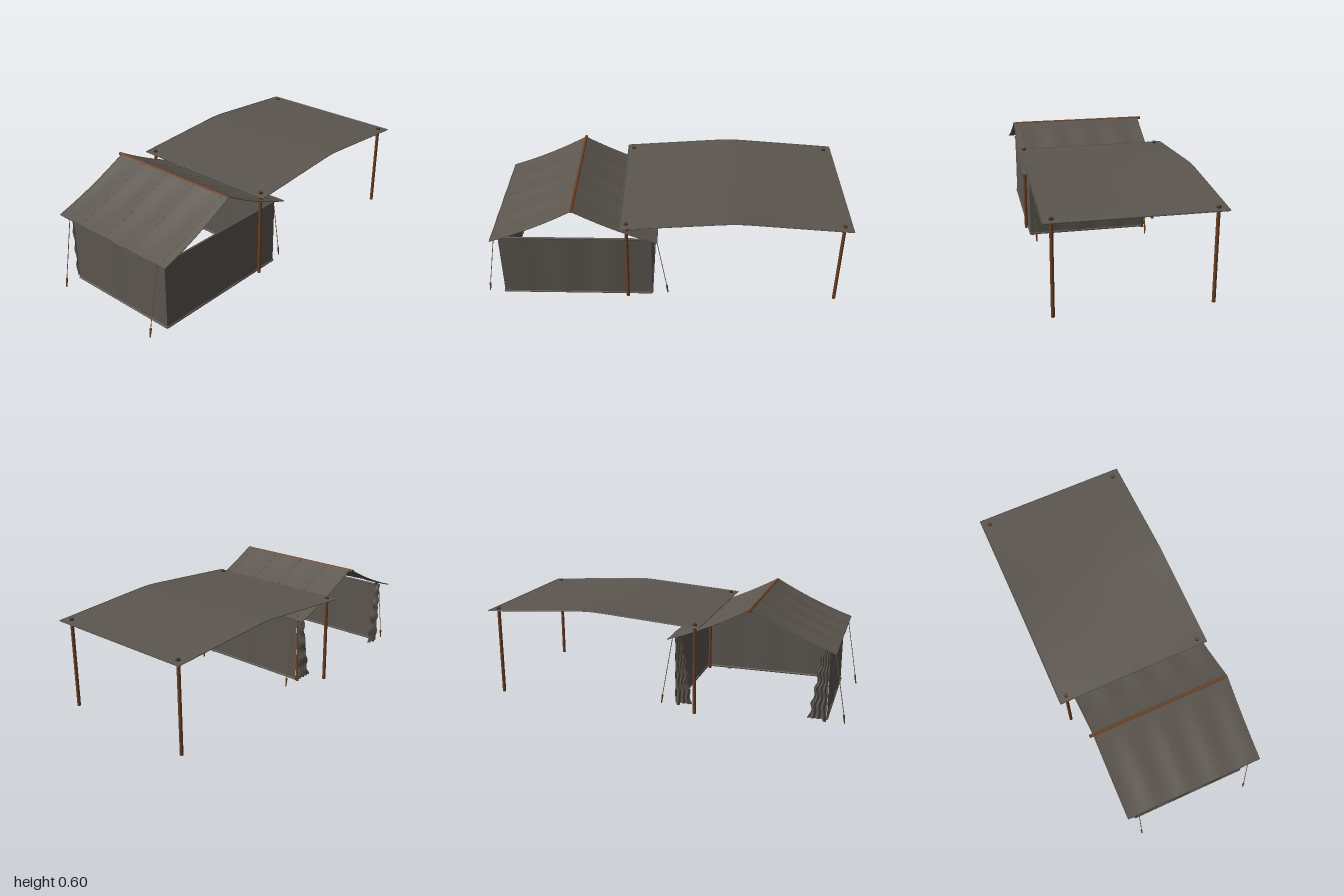
import * as THREE from 'three';

export function createModel() {
  const model = new THREE.Group();
  const mat = (name, color, side = THREE.FrontSide) => {
    const m = new THREE.MeshStandardMaterial({ color, side });
    m.name = name;
    return m;
  };
  const canvas = mat('canvas', 0x5c564f, THREE.DoubleSide);
  const wood = mat('wood', 0x6b4024);
  const rope = mat('rope', 0x6e5a35);
  const cap = mat('dark cap', 0x33302d);

  const add = (name, geo, material) => {
    const mesh = new THREE.Mesh(geo, material);
    mesh.name = name;
    model.add(mesh);
    return mesh;
  };

  // Cloth: a grid whose points follow f(u, v) -> [x, y, z]
  const cloth = (name, nu, nv, f) => {
    const geo = new THREE.PlaneGeometry(1, 1, nu, nv);
    const p = geo.attributes.position;
    for (let i = 0; i < p.count; i++) p.setXYZ(i, ...f(p.getX(i) + 0.5, p.getY(i) + 0.5));
    geo.computeVertexNormals();
    return add(name, geo, canvas);
  };

  // Straight round bar between two points
  const bar = (name, a, b, r, material, sides = 10, rTop = r) => {
    const from = new THREE.Vector3(...a), to = new THREE.Vector3(...b);
    const dir = to.clone().sub(from);
    const mesh = add(name, new THREE.CylinderGeometry(rTop, r, dir.length(), sides), material);
    mesh.position.copy(from).add(to).multiplyScalar(0.5);
    mesh.quaternion.setFromUnitVectors(new THREE.Vector3(0, 1, 0), dir.normalize());
    return mesh;
  };

  // Thin line through points made by f(t)
  const line = (name, f, r, material, t0 = 0, t1 = 1, n = 8) => {
    const pts = [];
    for (let i = 0; i <= n; i++) pts.push(new THREE.Vector3(...f(t0 + (t1 - t0) * i / n)));
    return add(name, new THREE.TubeGeometry(new THREE.CatmullRomCurve3(pts), n * 2, r, 5), material);
  };

  // Tent roof: two sagging slopes meeting at the ridge
  const ridgeX = -0.49;
  const roof = (s, t, z) => {
    const between = Math.sin(Math.PI * z / 0.195) ** 2;
    const sag = (0.011 + 0.007 * between) * 4 * t * (1 - t);
    return [ridgeX + s * 0.45 * t, 0.6 - 0.2 * t - sag - 0.004 * between * t, z];
  };
  for (const s of [-1, 1]) {
    cloth('roofSlope', 14, 40, (u, v) => roof(s, u, 0.43 - 0.79 * v));
    for (const z of [0.428, -0.358]) line('roofEdge', t => roof(s, t, z), 0.003, canvas);
    line('eaveHem', t => roof(s, 1, 0.43 - 0.79 * t), 0.003, canvas, 0, 1, 32);
    // Dashed stitching across the slope
    for (const z of [0.388, 0.195, 0, -0.19, -0.355]) {
      for (let i = 0; i < 9; i++) {
        line('roofStitch', t => {
          const p = roof(s, t, z);
          return [p[0], p[1] + 0.001, p[2]];
        }, 0.0016, rope, (i + 0.1) / 9, (i + 0.7) / 9, 2);
      }
    }
  }
  bar('ridgePole', [ridgeX, 0.592, 0.42], [ridgeX, 0.592, -0.38], 0.0095, wood, 12);

  // Tent walls: front and two sides, the back is open
  const xL = -0.905, xR = -0.07, zF = 0.388, zB = -0.295;
  const ripple = u => 0.003 * Math.sin(u * 19) * Math.sin(u * Math.PI);
  const wallY = v => 0.012 + 0.386 * v;
  cloth('frontWall', 32, 6, (u, v) => [xL + (xR - xL) * u, wallY(v), zF + ripple(u)]);
  for (const x of [xL, xR]) {
    cloth('sideWall', 32, 6, (u, v) => [x + ripple(u), wallY(v), zF + (zB - zF) * u]);
  }
  for (const y of [0.017, 0.393]) {
    bar('frontHem', [xL, y, zF], [xR, y, zF], 0.006, canvas);
    for (const x of [xL, xR]) bar('sideHem', [x, y, zF], [x, y, zB], 0.006, canvas);
  }

  // Corner poles, tied-back curtains, guy ropes and pegs
  for (const s of [-1, 1]) {
    const edge = s < 0 ? xL : xR;
    const poleX = edge - s * 0.012;
    for (const z of [zF - 0.013, -0.298]) {
      bar('cornerPole', [poleX, 0.004, z], [poleX, 0.4, z], 0.009, wood);
      bar('cornerCap', [poleX, 0.4, z], [poleX, 0.408, z], 0.01, cap);
    }
    cloth('curtain', 20, 50, (u, v) => {
      const y = 0.02 + 0.38 * v;
      const width = 0.035 + 0.06 * (1 - v) + 0.006 * Math.sin(y * 75);
      return [edge - s * u * width, y, -0.313 + 0.007 * Math.sin(u * 22 + Math.sin(y * 60))];
    });
    for (const z of [0.363, -0.293]) {
      const eave = ridgeX + s * 0.44, foot = ridgeX + s * 0.505;
      bar('guyRope', [eave, 0.402, z], [foot, 0.035, z], 0.002, rope, 6);
      bar('peg', [foot + s * 0.004, 0, z], [foot - s * 0.003, 0.05, z], 0.003, wood, 8, 0.006);
    }
  }

  // Flat awning: low ridge across the middle that sags between its edges
  const awning = (x, z) => {
    const k = Math.abs(x - 0.38) / 0.62;
    const rise = 1 - Math.sqrt(k * k + 0.004) + 0.03 * (1 - k);
    return [x, 0.498 + 0.045 * rise * (0.55 + 0.45 * (z / 0.445) ** 2), z];
  };
  cloth('awning', 48, 24, (u, v) => awning(-0.24 + 1.24 * u, 0.445 - 0.89 * v));
  for (const z of [0.445, -0.445]) line('awningHem', t => awning(-0.24 + 1.236 * t, z), 0.003, canvas, 0, 1, 24);
  for (const x of [-0.238, 0.997]) line('awningEnd', t => awning(x, 0.445 - 0.89 * t), 0.003, canvas);

  // Awning poles with washers on the cloth
  for (const x of [-0.205, 0.955]) {
    for (const z of [0.4, -0.4]) {
      bar('awningPole', [x, 0.005, z], [x, 0.513, z], 0.0095, wood, 12);
      const y = awning(x, z)[1];
      bar('awningWasher', [x, y - 0.004, z], [x, y + 0.006, z], 0.012, cap, 12);
    }
  }
  return model;
}
